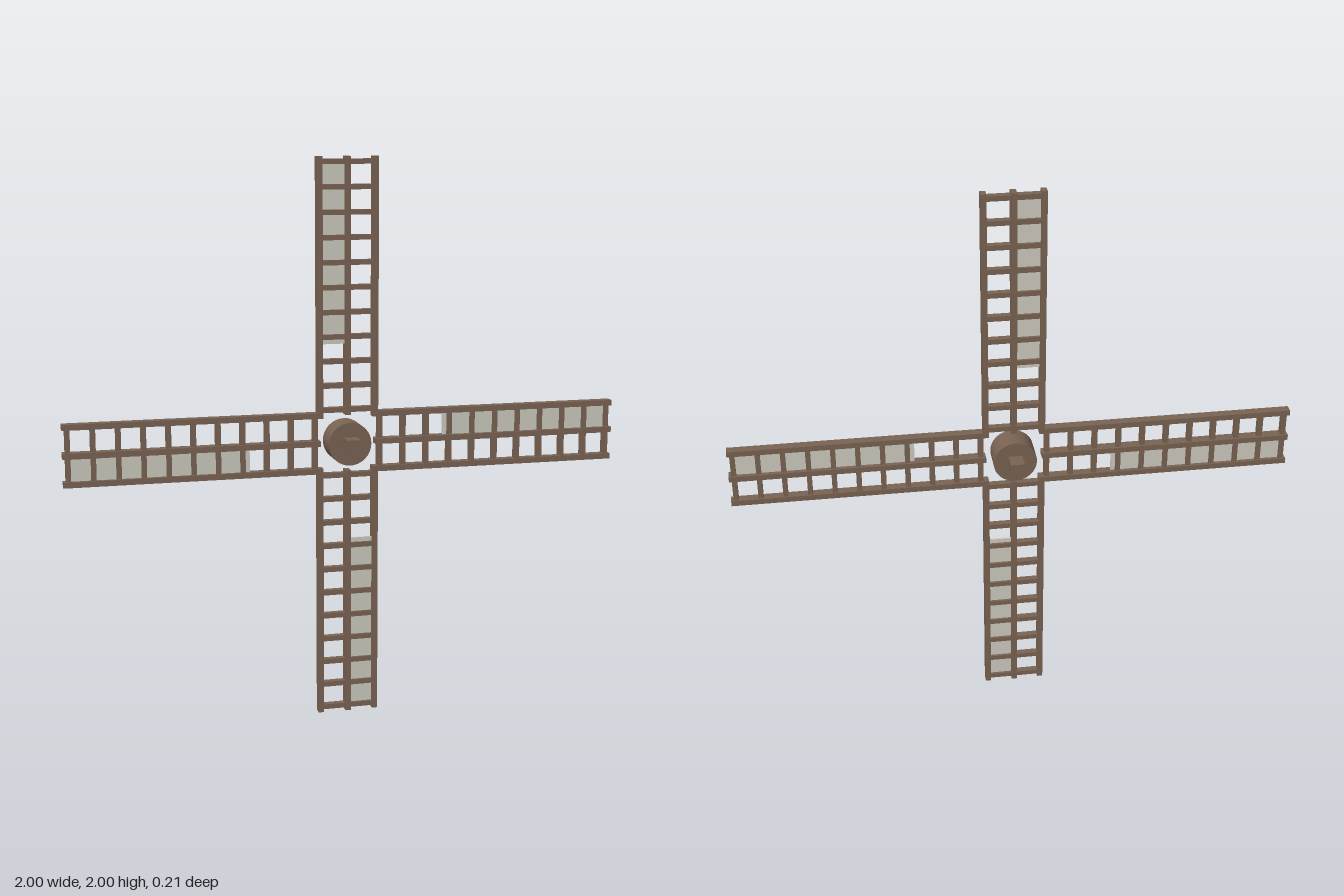
import * as THREE from 'three';

export function createModel() {
  const wood = new THREE.MeshStandardMaterial({ name: 'brown wood', color: 0x7a6453 });
  const cloth = new THREE.MeshStandardMaterial({ name: 'pale canvas', color: 0xcfcdc0 });

  const model = new THREE.Group();
  model.name = 'windmillRotor';

  function box(parent, name, material, size, position) {
    const mesh = new THREE.Mesh(new THREE.BoxGeometry(...size), material);
    mesh.name = name;
    mesh.position.set(...position);
    parent.add(mesh);
  }

  // One upright blade, measured outward from the hub centre
  function createBlade() {
    const blade = new THREE.Group();
    blade.name = 'blade';

    // Long rails, the middle one slightly deeper
    for (const x of [-0.1, 0, 0.1]) {
      const start = x === 0 ? 0.1 : 0.09;
      const depth = x === 0 ? 0.038 : 0.033;
      box(blade, x === 0 ? 'middleRail' : 'sideRail', wood,
        [0.02, 1 - start, depth], [x, (1 + start) / 2, 0]);
    }

    // Evenly spaced rungs
    const rungs = 11;
    for (let i = 0; i < rungs; i++) {
      const y = 0.118 + (i * (0.982 - 0.118)) / (rungs - 1);
      box(blade, 'rung', wood, [0.2, 0.018, 0.024], [0, y, 0]);
    }

    // Canvas stretched over the outer part of one side
    box(blade, 'sail', cloth, [0.084, 0.63, 0.006], [-0.05, 0.667, 0]);
    return blade;
  }

  // Four blades around the hub
  for (let i = 0; i < 4; i++) {
    const blade = createBlade();
    blade.position.y = 1;
    blade.rotation.z = (i * Math.PI) / 2;
    model.add(blade);
  }

  // Round hub with a square axle through it
  const hub = new THREE.Mesh(new THREE.CylinderGeometry(0.077, 0.077, 0.094, 32), wood);
  hub.name = 'hub';
  hub.rotation.x = Math.PI / 2;
  hub.position.y = 1;
  model.add(hub);
  box(model, 'axle', wood, [0.05, 0.05, 0.21], [0, 1, 0]);

  return model;
}
